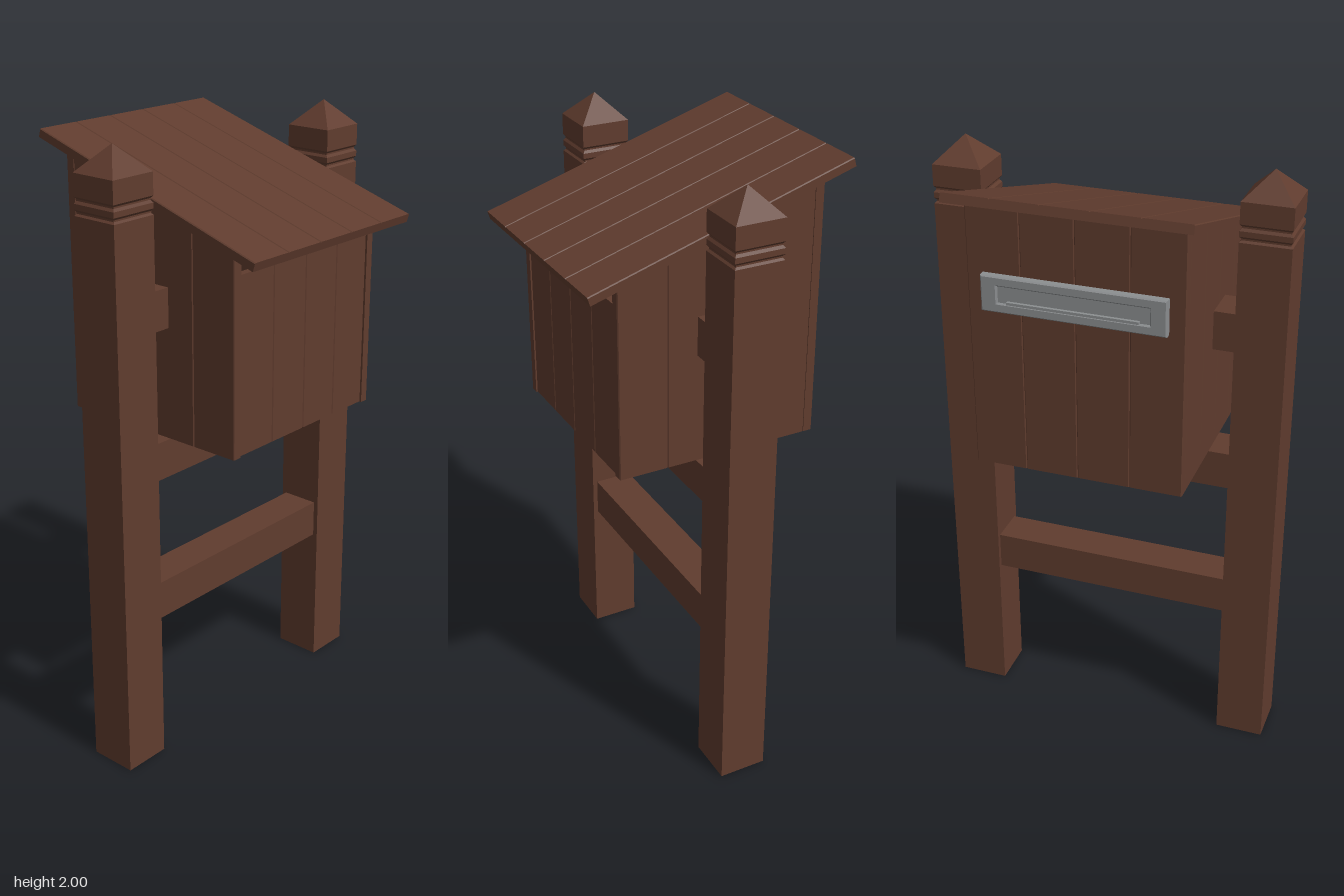
import * as THREE from 'three';

const wood = new THREE.MeshStandardMaterial({ color: 0x603c2e, side: THREE.DoubleSide, flatShading: true });
wood.name = 'brown wood';
const metal = new THREE.MeshStandardMaterial({ color: 0x8c8f91, flatShading: true });
metal.name = 'grey metal';

const TILT = 0.298;
const FLOOR_Y = 1.085;
// underside of the sloping roof at depth z
const roofLine = (z) => 1.69 + Math.tan(TILT) * (0.418 - z);

function add(parent, name, geometry, material, x = 0, y = 0, z = 0) {
  const mesh = new THREE.Mesh(geometry, material);
  mesh.name = name;
  mesh.position.set(x, y, z);
  parent.add(mesh);
  return mesh;
}

const box = (w, h, d) => new THREE.BoxGeometry(w, h, d);

// upright board standing on y = 0, its chamfered face towards +z
function plank(w, length, t, c = 0.003) {
  const a = w / 2, b = t / 2;
  const section = new THREE.Shape([
    [-a, -b], [a, -b], [a, b - c], [a - c, b], [-a + c, b], [-a, b - c],
  ].map(([x, y]) => new THREE.Vector2(x, y)));
  return new THREE.ExtrudeGeometry(section, { depth: length, bevelEnabled: false })
    .rotateX(-Math.PI / 2).rotateY(Math.PI);
}

// cut the upper end of a board to the roof slope
function cutToRoof(geometry) {
  const p = geometry.attributes.position;
  for (let i = 0; i < p.count; i++) {
    if (p.getY(i) > 1.5) p.setY(i, roofLine(p.getZ(i)));
  }
  geometry.computeVertexNormals();
  return geometry;
}

// square post with two grooves and a pointed cap, open underneath
function postGeometry() {
  const profile = [
    [0.079, 0], [0.079, 1.797], [0.073, 1.803], [0.073, 1.808], [0.079, 1.815],
    [0.079, 1.832], [0.073, 1.84], [0.073, 1.845], [0.079, 1.852],
    [0.079, 1.92], [0, 2],
  ].map(([r, y]) => new THREE.Vector2(r * Math.SQRT2, y));
  return new THREE.LatheGeometry(profile, 4).rotateY(Math.PI / 4);
}

function createLetterPlate() {
  const plate = new THREE.Group();
  plate.name = 'letterPlate';
  const outline = new THREE.Shape();
  outline.moveTo(-0.277, -0.052).lineTo(0.277, -0.052).lineTo(0.277, 0.052).lineTo(-0.277, 0.052).closePath();
  const hole = new THREE.Path();
  hole.moveTo(-0.235, -0.03).lineTo(-0.235, 0.03).lineTo(0.235, 0.03).lineTo(0.235, -0.03).closePath();
  outline.holes.push(hole);
  const frame = new THREE.ExtrudeGeometry(outline, {
    depth: 0.02, bevelSize: 0.004, bevelThickness: 0.004, bevelSegments: 1,
  });
  add(plate, 'letterFrame', frame, metal);
  add(plate, 'letterFlap', box(0.46, 0.056, 0.01), metal, 0, 0, 0.012);
  add(plate, 'flapLip', box(0.4, 0.008, 0.012), metal, 0, -0.022, 0.021);
  plate.position.set(0, 1.665, -0.35);
  plate.rotation.y = Math.PI;
  return plate;
}

export function createModel() {
  const model = new THREE.Group();
  model.name = 'postMountedLetterBox';

  // posts and the short brackets holding the cabinet
  for (const [side, s] of [['left', 1], ['right', -1]]) {
    add(model, side + 'Post', postGeometry(), wood, s * 0.479);
    add(model, side + 'Bracket', box(0.08, 0.125, 0.126), wood, s * 0.365, 1.502, 0);
  }

  // cross rails
  add(model, 'upperRail', box(0.81, 0.123, 0.126), wood, 0, 1.0225, 0);
  add(model, 'lowerRail', box(0.81, 0.126, 0.126), wood, 0, 0.545, 0);

  const cabinet = new THREE.Group();
  cabinet.name = 'cabinet';
  model.add(cabinet);
  const wallHeight = 0.7;

  for (let i = 0; i < 4; i++) {
    const k = i - 1.5;
    // side walls
    for (const [side, s] of [['left', 1], ['right', -1]]) {
      const board = plank(0.16, wallHeight, 0.03)
        .rotateY(s * Math.PI / 2).translate(s * 0.315, FLOOR_Y, k * 0.16);
      add(cabinet, side + 'WallBoard', cutToRoof(board), wood);
    }
    // back wall
    const back = plank(0.165, wallHeight, 0.03)
      .rotateY(Math.PI).translate(k * 0.165, FLOOR_Y, -0.335);
    add(cabinet, 'backWallBoard', cutToRoof(back), wood);
    // front door
    add(cabinet, 'doorBoard', plank(0.1495, 0.556, 0.025), wood, k * 0.1495, FLOOR_Y + 0.003, 0.304);
  }

  // board above the door, and the floor set up inside the walls
  const lintel = plank(0.6, 0.07, 0.03).translate(0, 1.647, 0.305);
  add(cabinet, 'lintel', cutToRoof(lintel), wood);
  add(cabinet, 'floor', box(0.6, 0.02, 0.61), wood, 0, FLOOR_Y + 0.025, -0.012);
  cabinet.add(createLetterPlate());

  // sloping roof boards
  const roof = new THREE.Group();
  roof.name = 'roof';
  roof.position.set(0, 1.7, 0.422);
  roof.rotation.x = TILT - Math.PI / 2;
  for (let i = -2; i <= 2; i++) {
    add(roof, 'roofBoard', plank(0.1468, 0.885, 0.028), wood, i * 0.1468);
  }
  model.add(roof);

  return model;
}
